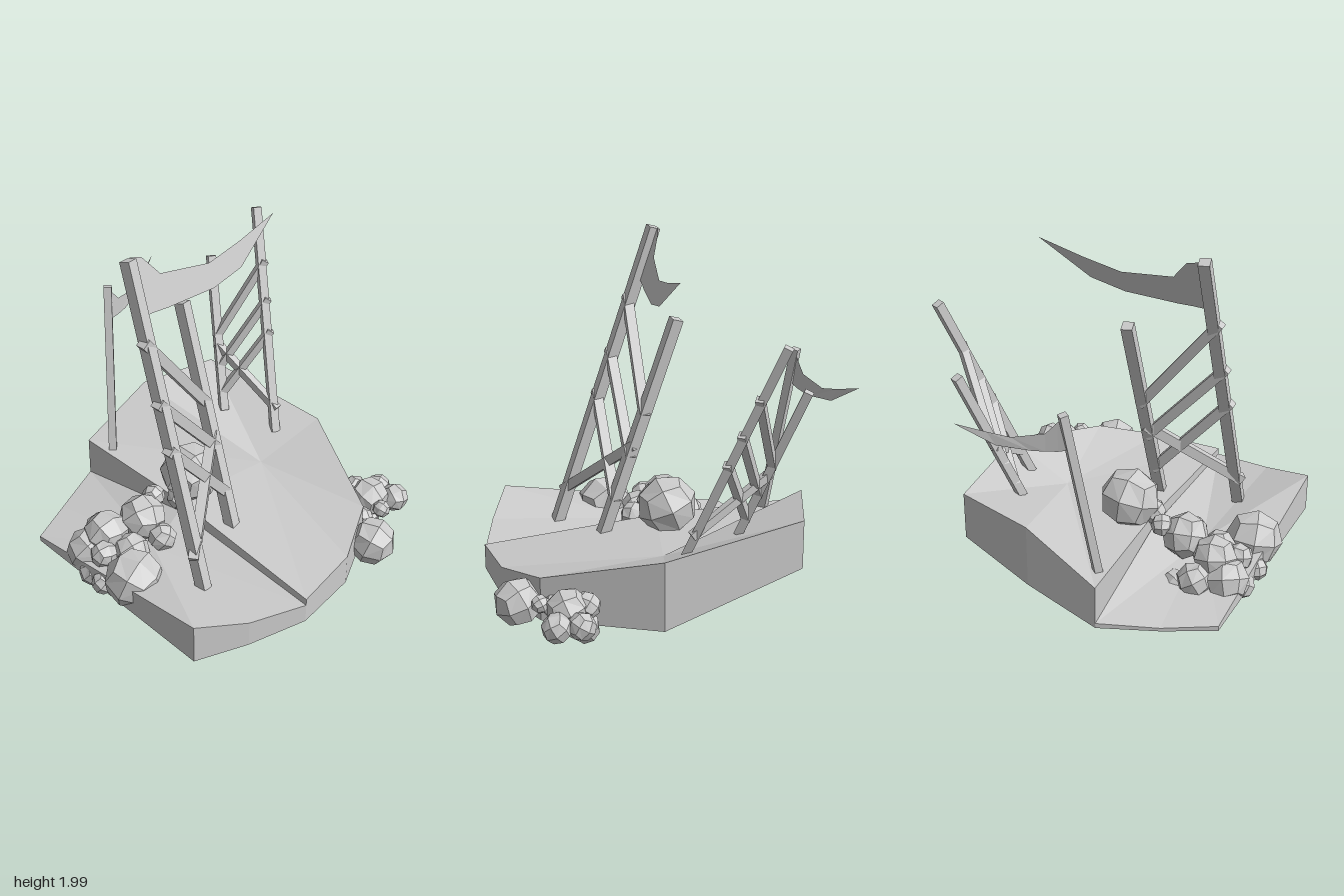
import * as THREE from 'three';

const mat = new THREE.MeshStandardMaterial({ color: 0xcccccc, flatShading: true });
const clothMat = new THREE.MeshStandardMaterial({ color: 0xcccccc, flatShading: true, side: THREE.DoubleSide });

// Mesh from a list of triangles, each three [x, y, z] points
function facets(name, tris, material) {
  const g = new THREE.BufferGeometry();
  g.setAttribute('position', new THREE.Float32BufferAttribute(tris.flat(2), 3));
  g.computeVertexNormals();
  const m = new THREE.Mesh(g, material);
  m.name = name;
  return m;
}

// Rock slab: ring rows are [x, z, bottomY, topY], counter-clockwise from above
function slab(name, ring, topCentre, bottomCentre) {
  const tris = [];
  ring.forEach(([x, z, b, t], i) => {
    const [x2, z2, b2, t2] = ring[(i + 1) % ring.length];
    const lo = [x, b, z], hi = [x, t, z], lo2 = [x2, b2, z2], hi2 = [x2, t2, z2];
    tris.push([hi, hi2, topCentre], [lo2, lo, bottomCentre], [lo, lo2, hi2], [lo, hi2, hi]);
  });
  return facets(name, tris, mat);
}

// Square timber running from a to b, rolled about its own axis
function beam(name, a, b, w, roll = 0) {
  const A = new THREE.Vector3(...a), B = new THREE.Vector3(...b);
  const m = new THREE.Mesh(new THREE.BoxGeometry(w, w, A.distanceTo(B)), mat);
  m.position.copy(A).lerp(B, 0.5);
  m.lookAt(B);
  m.rotateZ(roll);
  m.name = name;
  return m;
}

// Two poles joined by rungs; rungs are pairs of heights on pole 1 and pole 2
function frame(name, p1, p2, w, roll, rungs, rw) {
  const g = new THREE.Group();
  g.name = name;
  const mix = (a, b, t) => a.map((v, i) => v + (b[i] - v) * t);
  const at = ([a, b], y) => mix(a, b, (y - a[1]) / (b[1] - a[1]));
  g.add(beam('pole', ...p1, w, roll), beam('pole', ...p2, w, roll));
  for (const [y1, y2] of rungs) {
    const a = at(p1, y1), b = at(p2, y2);
    g.add(beam('rung', mix(a, b, -0.08), mix(a, b, 1.03), rw));
  }
  return g;
}

// Ragged cloth between an upper and a lower edge, ending in a point
function flag(name, top, bottom, zAt) {
  const P = ([x, y]) => [x, y, zAt(x, y)];
  const tris = [];
  for (let i = 0; i < top.length - 1; i++) {
    const [a, b, c, d] = [top[i], top[i + 1], bottom[i], bottom[i + 1]].map(P);
    tris.push([a, c, b], [b, c, d]);
  }
  return facets(name, tris, clothMat);
}

// Boulder: a cube of 24 quads pushed out to a sphere
const boulderGeo = new THREE.BoxGeometry(2, 2, 2, 2, 2, 2);
{
  const p = boulderGeo.attributes.position, v = new THREE.Vector3();
  for (let i = 0; i < p.count; i++) {
    v.fromBufferAttribute(p, i).normalize();
    p.setXYZ(i, v.x, v.y, v.z);
  }
}
function boulders(name, list) {
  const g = new THREE.Group();
  g.name = name;
  list.forEach(([x, y, z, r], i) => {
    const m = new THREE.Mesh(boulderGeo, mat);
    m.position.set(x, y, z);
    m.scale.setScalar(r * 1.03);
    m.rotation.set(0.35 + i * 0.9, 0.4 + i * 1.3, i * 0.7);
    m.name = 'boulder';
    g.add(m);
  });
  return g;
}

export function createModel() {
  const model = new THREE.Group();

  // Split ground: a tilted wedge and a raised, hollow-bottomed half meeting at a crack
  model.add(slab('lowGround', [
    [-0.29, -0.78, 0.11, 0.14], [-0.60, -0.63, 0.10, 0.12], [-0.87, -0.48, 0.10, 0.13],
    [-0.83, 0.84, 0.10, 0.33], [-0.53, 0.93, 0.10, 0.25], [-0.18, 0.99, 0.10, 0.21],
    [-0.235, 0.0, 0.19, 0.28],
  ], [-0.5, 0.215, 0.1], [-0.5, 0.12, 0.0]));
  model.add(slab('highGround', [
    [-0.18, 0.99, 0.10, 0.25], [0.20, 0.91, 0.105, 0.285], [0.51, 0.72, 0.11, 0.36],
    [0.75, 0.09, 0.12, 0.52], [0.58, -0.68, 0.35, 0.63], [0.13, -0.77, 0.24, 0.61],
    [-0.29, -0.78, 0.11, 0.37], [-0.23, 0.0, 0.19, 0.35],
  ], [0.35, 0.365, 0.04], [-0.08, 0.31, -0.05]));

  // Leaning timber frames and a lone pole
  model.add(frame('tallFrame',
    [[-0.515, 0.03, 0.61], [-0.515, 1.98, -0.03]],
    [[-0.115, 0.12, 0.38], [-0.115, 1.56, -0.1]], 0.062, 0.25,
    [[1.54, 1.02], [1.23, 0.77], [0.98, 0.51], [0.44, 0.83]], 0.056));
  model.add(frame('shortFrame',
    [[0.54, 0.45, -0.05], [0.785, 1.66, -0.52]],
    [[0.41, 0.5, -0.36], [0.58, 1.35, -0.68]], 0.048, 0.1,
    [[1.35, 0.92], [1.15, 0.75], [0.98, 0.6], [0.6, 0.86]], 0.043));
  model.add(beam('lonePole', [-0.24, 0.22, -0.61], [-0.11, 1.36, -0.77], 0.045));

  // Torn flags
  model.add(flag('largeFlag',
    [[-0.49, 1.98], [-0.42, 1.96], [-0.33, 1.85], [-0.02, 1.805], [0.20, 1.85], [0.46, 1.92]],
    [[-0.49, 1.68], [-0.42, 1.68], [-0.33, 1.675], [-0.02, 1.675], [0.18, 1.72], [0.46, 1.92]],
    (x, y) => (1.83 - y) * 0.33));
  model.add(flag('smallFlag',
    [[-0.12, 1.34], [-0.08, 1.31], [-0.02, 1.24], [0.14, 1.21], [0.25, 1.24], [0.39, 1.29]],
    [[-0.12, 1.15], [-0.08, 1.14], [-0.02, 1.135], [0.05, 1.135], [0.21, 1.16], [0.39, 1.29]],
    (x) => -0.76 - 0.32 * (x + 0.12) - 0.29 * (x + 0.12) ** 2));

  // Rock piles: x, y, z, radius
  model.add(boulders('leftBoulders', [
    [-0.75, 0.22, 0.24, 0.16], [-0.11, 0.46, -0.05, 0.17], [-0.46, 0.32, -0.05, 0.13],
    [-0.34, 0.38, -0.10, 0.065], [-0.23, 0.38, 0.0, 0.075], [-0.61, 0.19, -0.24, 0.1],
    [-0.76, 0.19, -0.15, 0.125], [-0.67, 0.28, -0.11, 0.125], [-0.77, 0.25, 0.0, 0.075],
    [-0.62, 0.23, 0.05, 0.1], [-0.84, 0.14, 0.08, 0.065], [-0.80, 0.11, -0.06, 0.085],
    [-0.66, 0.10, 0.07, 0.085], [-0.58, 0.10, -0.08, 0.095], [-0.50, 0.11, -0.24, 0.095],
    [-0.47, 0.09, -0.05, 0.075], [-0.68, 0.10, -0.20, 0.085], [-0.44, 0.26, 0.1, 0.08],
  ]));
  model.add(boulders('rightBoulders', [
    [0.47, 0.21, 0.84, 0.13], [0.69, 0.26, 0.59, 0.115], [0.83, 0.23, 0.66, 0.08],
    [0.83, 0.23, 0.53, 0.075], [0.68, 0.27, 0.49, 0.075], [0.65, 0.28, 0.73, 0.05],
    [0.71, 0.16, 0.51, 0.085], [0.66, 0.15, 0.62, 0.07], [0.57, 0.22, 0.66, 0.06],
  ]));
  return model;
}
